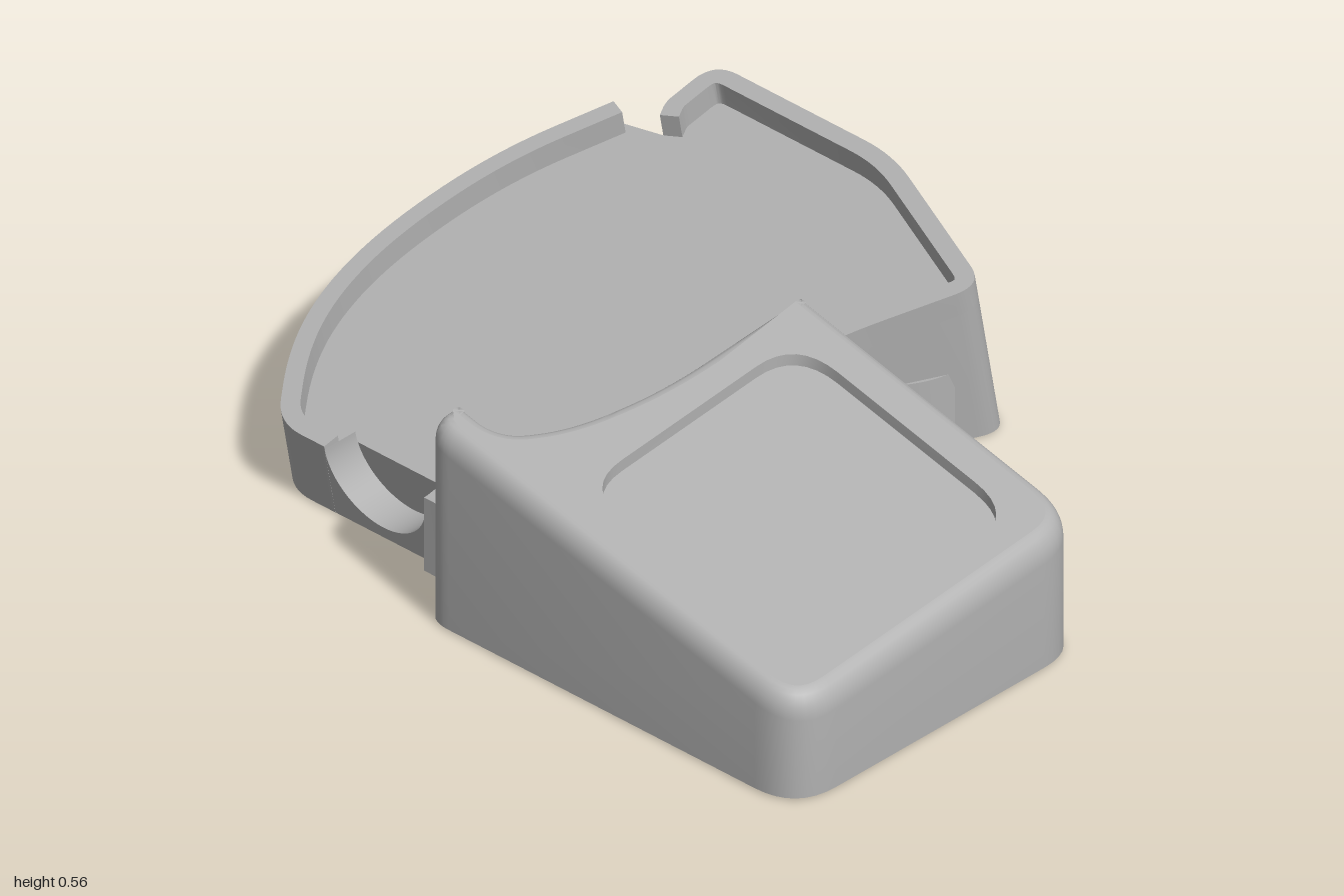
import * as THREE from 'three';
import { toCreasedNormals } from 'three/addons/utils/BufferGeometryUtils.js';

const BASE = 0.004;      // underside of the bodies, just above the feet
const TILT = 0.19;       // sideways slope of the tray
const RIM = 0.06;        // height of the tray rim
const trayTop = x => 0.35 + TILT * (x - 0.1);
const restTop = (x, z) => 0.56 + 0.1 * (x - 0.05) - 0.245 * (z - 0.14);

// Turns [x, z, cornerRadius] points into a rounded path in (x, -z)
function rounded(pts, closed = true) {
  const out = [], n = pts.length;
  const add = p => { if (!out.length || out[out.length - 1].distanceTo(p) > 0.002) out.push(p); };
  const v = i => new THREE.Vector2(pts[(i + n) % n][0], -pts[(i + n) % n][1]);
  for (let i = 0; i < n; i++) {
    const p = v(i), r = pts[i][2] || 0;
    if (!r || (!closed && (i === 0 || i === n - 1))) { add(p); continue; }
    const a = v(i - 1).sub(p), b = v(i + 1).sub(p);
    const start = p.clone().addScaledVector(a.clone().normalize(), Math.min(r, a.length() / 2));
    const end = p.clone().addScaledVector(b.clone().normalize(), Math.min(r, b.length() / 2));
    new THREE.QuadraticBezierCurve(start, p, end).getPoints(8).forEach(add);
  }
  if (closed && out[0].distanceTo(out[out.length - 1]) < 0.002) out.pop();
  if (closed && THREE.ShapeUtils.isClockWise(out)) out.reverse();
  return out;
}

// Moves a path sideways; positive goes to the left of its direction
function offset(path, d, closed = true) {
  const n = path.length;
  const normal = i => {
    const e = path[(i + 1) % n].clone().sub(path[i]).normalize();
    return new THREE.Vector2(-e.y, e.x);
  };
  return path.map((p, i) => {
    const first = !closed && i === 0, last = !closed && i === n - 1;
    const a = first ? normal(0) : normal((i - 1 + n) % n);
    const b = last ? a : normal(i);
    const m = a.clone().add(b).normalize();
    return p.clone().addScaledVector(m, d / Math.max(0.5, m.dot(b)));
  });
}

// Upright prism; rule(x, z, t) gives the final [x, y] for t = 0 below, 1 above
function prism(path, rule) {
  const g = new THREE.ExtrudeGeometry(new THREE.Shape(path), { depth: 1, bevelEnabled: false });
  g.rotateX(-Math.PI / 2);
  return warp(g, rule);
}

function warp(g, rule) {
  const p = g.attributes.position;
  for (let i = 0; i < p.count; i++) {
    const [x, y] = rule(p.getX(i), p.getZ(i), p.getY(i));
    p.setXY(i, x, y);
  }
  return toCreasedNormals(g, 0.55);
}

// Skin between equal loops of Vector3
function loft(rings) {
  const n = rings[0].length, pos = [], idx = [];
  rings.forEach(r => r.forEach(p => pos.push(p.x, p.y, p.z)));
  for (let k = 0; k < rings.length - 1; k++) {
    for (let i = 0; i < n; i++) {
      const a = k * n + i, b = k * n + (i + 1) % n;
      idx.push(a, b, b + n, a, b + n, a + n);
    }
  }
  const g = new THREE.BufferGeometry();
  g.setAttribute('position', new THREE.Float32BufferAttribute(pos, 3));
  g.setIndex(idx);
  return toCreasedNormals(g, 0.55);
}

export function createModel() {
  const model = new THREE.Group();
  model.name = 'trayWithPalmRest';
  const grey = new THREE.MeshStandardMaterial({ color: 0xb0b0b0 });
  grey.name = 'grey';
  const add = (name, geometry, parent = model) => {
    const m = new THREE.Mesh(geometry, grey);
    m.name = name;
    parent.add(m);
    return m;
  };

  // Tray outline, split where the rim is interrupted
  const tray = new THREE.Group();
  tray.name = 'tray';
  model.add(tray);
  const rear = [[-0.7, -0.6], [-0.7, -0.745, 0.08], [-0.5, -0.9, 0.2], [-0.3, -0.98, 0.2],
    [-0.06, -1.005, 0.2], [0.25, -0.97, 0.2], [0.525, -0.865, 0]];
  const front = [[0.55, -0.745], [0.59, -0.765, 0.02], [0.75, -0.765, 0.07], [0.75, -0.21, 0.09],
    [0.545, 0.265, 0.07], [0.2, 0.1, 0.15], [0.05, 0.085, 0.1], [-0.35, 0.08, 0.18],
    [-0.6, 0.03, 0.1], [-0.7, -0.04, 0.07], [-0.7, -0.29]];

  // Leaning walls: lower points slide towards +x
  const lean = (x, y) => [x + TILT * (trayTop(x) - y), y];
  const slab = rounded([...rear, ...front, [-0.6, -0.29], [-0.6, -0.6]]);
  add('trayBody', prism(slab, (x, z, t) => lean(x, t > 0.5 ? trayTop(x) - RIM : BASE)), tray);

  for (const [name, pts] of [['rearRim', rear], ['frontRim', front]]) {
    const outer = rounded(pts, false);
    const inner = offset(outer, -0.045, false);
    add(name, prism([...outer, ...inner.reverse()],
      (x, z, t) => lean(x, trayTop(x) - (t > 0.5 ? 0 : RIM + 0.002))), tray);
  }

  // Round cable cradle in the side wall
  const cradle = new THREE.Shape();
  cradle.moveTo(0.29, BASE);
  cradle.lineTo(0.29, 0.19);
  cradle.absarc(0.445, 0.19, 0.155, Math.PI, Math.PI * 2, false);
  cradle.lineTo(0.6, BASE);
  const cradleGeo = new THREE.ExtrudeGeometry(cradle, { depth: 0.1, bevelEnabled: false, curveSegments: 24 });
  cradleGeo.rotateY(Math.PI / 2);
  cradleGeo.translate(-0.7, 0, 0);
  add('cableCradle', warp(cradleGeo, (x, z, y) => [x + TILT * (0.2 - y), y]), tray);

  // Low web joining tray and palm rest
  const web = rounded([[-0.8, -0.13], [-0.7, -0.17, 0.09], [-0.7, -0.29], [-0.655, -0.29],
    [-0.655, -0.06, 0.05], [-0.55, 0.02], [-0.35, 0.06], [0.1, 0.06], [0.3, 0], [0.52, 0.1],
    [0.5, 0.22], [0.42, 0.2, 0.05], [0.25, 0.08, 0.17], [0.1, 0.17, 0.1], [0.1, 0.3], [-0.8, 0.3]]);
  add('joiningWeb', prism(web, (x, z, t) => [x, t > 0.5 ? 0.2 : BASE]));

  // Palm rest with a softened top edge
  const rest = new THREE.Group();
  rest.name = 'palmRest';
  model.add(rest);
  const outline = rounded([[-0.84, -0.15, 0.07], [-0.735, -0.15, 0.02], [-0.735, -0.02, 0.06],
    [-0.6, 0.06, 0.1], [-0.35, 0.113, 0.15], [0.1, 0.12, 0.02], [0.1, 1, 0.13], [-0.84, 1, 0.13]]);
  const ring = (path, drop) => path.map(p => new THREE.Vector3(p.x, restTop(p.x, -p.y) - drop, -p.y));
  const inset = 0.04, drop = 0.06;
  const rings = [outline.map(p => new THREE.Vector3(p.x, BASE, -p.y))];
  for (let i = 0; i <= 6; i++) {
    const a = i / 6 * Math.PI / 2;
    rings.push(ring(offset(outline, inset * (1 - Math.cos(a))), drop * (1 - Math.sin(a))));
  }
  add('palmRestSides', loft(rings), rest);

  // Sloping top and shallow pad recess
  const pocket = rounded([[-0.72, 0.22, 0.13], [-0.02, 0.22, 0.13], [-0.02, 0.905, 0.13], [-0.72, 0.905, 0.13]]);
  const face = (path, depth, hole) => {
    const s = new THREE.Shape(path);
    if (hole) s.holes.push(new THREE.Path(hole));
    const g = new THREE.ShapeGeometry(s);
    g.rotateX(-Math.PI / 2);
    return warp(g, (x, z) => [x, restTop(x, z) - depth]);
  };
  add('palmRestTop', face(offset(outline, inset), 0, pocket), rest);
  add('padRecessWall', loft([ring(pocket, 0), ring(pocket, 0.03)]), rest);
  add('padRecessFloor', face(pocket, 0.03), rest);
  const underside = new THREE.ShapeGeometry(new THREE.Shape(outline));
  underside.rotateX(-Math.PI / 2);
  underside.translate(0, BASE, 0);
  underside.setIndex(Array.from(underside.index.array).reverse());
  add('palmRestUnderside', toCreasedNormals(underside, 0.5), rest);

  // Round feet
  for (const [x, z] of [[-0.74, 0.9], [0, 0.9], [0.63, 0.12], [0.74, -0.66], [-0.3, -0.88]]) {
    const foot = add('foot', new THREE.CylinderGeometry(0.06, 0.06, 0.008, 28));
    foot.position.set(x, 0.004, z);
  }
  return model;
}
